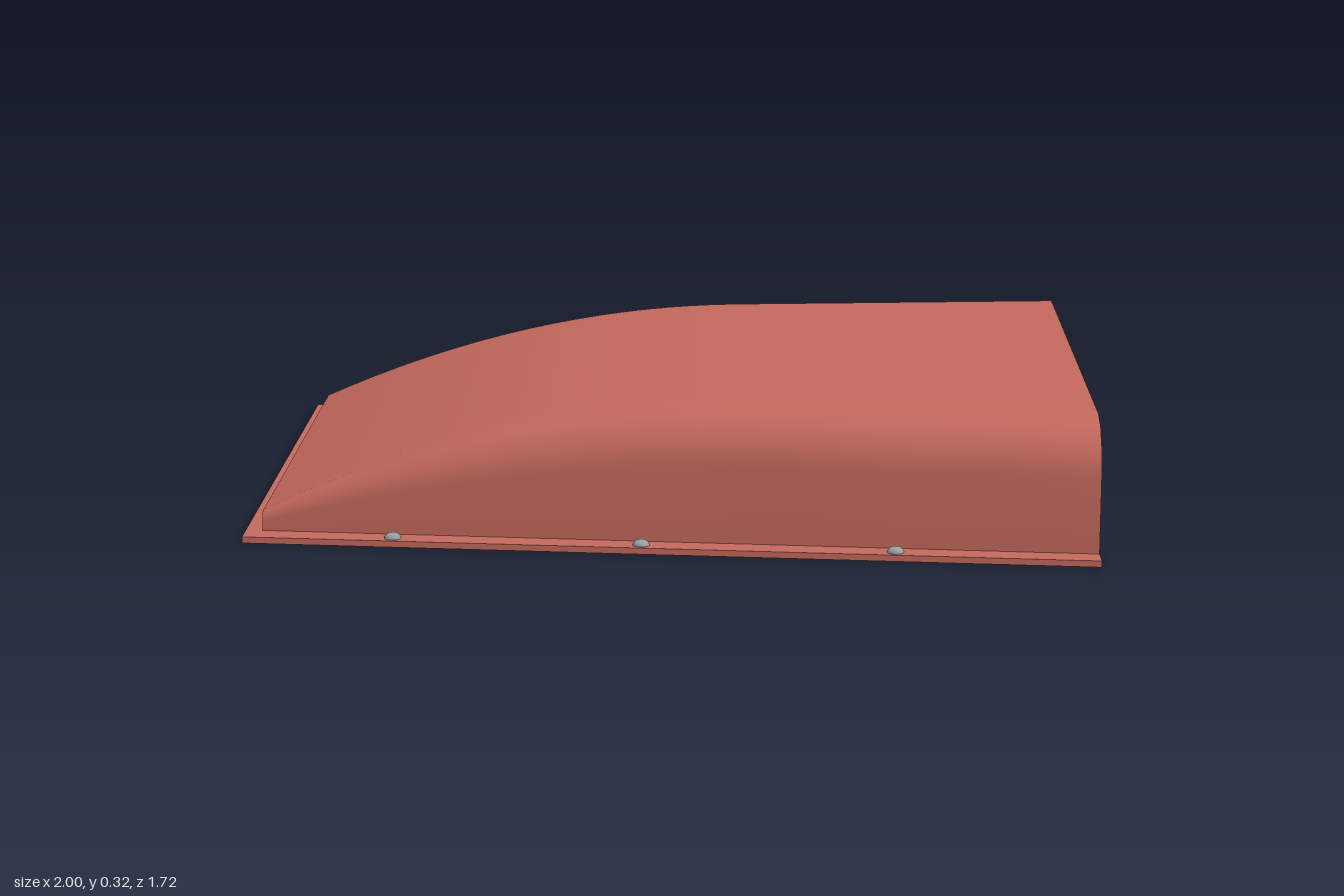
import * as THREE from 'three';
import { toCreasedNormals } from 'three/addons/utils/BufferGeometryUtils.js';

const BASE = 0.015, TAIL = -0.96, MOUTH = 1, WALL = 0.07, FLOOR = 0.08;

// Roof height and half width along the scoop
function roofHeight(x) {
  const t = Math.min(1, (x - TAIL) / 1.11);
  return 0.06 + 0.26 * (1 - (1 - t) ** 2);
}
const halfWidth = (x) => 0.64 + (0.16 * (x - TAIL)) / (MOUTH - TAIL);

// Arch-shaped cross-section from the +z foot over the roof to the -z foot
function section(x, half, bottom, top, r) {
  const side = [[bottom, half]];
  for (let i = 0; i <= 3; i++) {
    const a = (i / 3) * Math.PI / 2;
    side.push([top - r + r * Math.sin(a), half - r + r * Math.cos(a)]);
  }
  side.push([top, (half - r) * 0.85]);
  const pts = side.map(([y, z]) => new THREE.Vector3(x, y, z));
  return pts.concat(side.reverse().map(([y, z]) => new THREE.Vector3(x, y, -z)));
}

const outerSection = (x) => {
  const h = roofHeight(x);
  return section(x, halfWidth(x), BASE, h, 0.38 * h);
};
const innerSection = (x) => {
  const top = roofHeight(x) - WALL;
  return section(x, halfWidth(x) - WALL, FLOOR, top, Math.min(0.09, (top - FLOOR) * 0.55));
};

// Skin a list of equal-length sections
function loft(rings, closed) {
  const n = rings[0].length, index = [];
  for (let i = 0; i < rings.length - 1; i++) {
    for (let j = 0; j < (closed ? n : n - 1); j++) {
      const k = (j + 1) % n, a = i * n, b = a + n;
      index.push(a + j, b + j, a + k, b + j, b + k, a + k);
    }
  }
  const g = new THREE.BufferGeometry().setFromPoints(rings.flat());
  g.setIndex(index);
  g.computeVertexNormals();
  return g;
}

// Flat end face over one section
function cap(ring, faceForward) {
  const index = [];
  for (let j = 1; j < ring.length - 1; j++) {
    index.push(0, ...(faceForward ? [j + 1, j] : [j, j + 1]));
  }
  const g = new THREE.BufferGeometry().setFromPoints(ring);
  g.setIndex(index);
  g.computeVertexNormals();
  return g;
}

const stations = (from, to, n) =>
  Array.from({ length: n + 1 }, (_, i) => from + ((to - from) * i) / n);

export function createModel() {
  const group = new THREE.Group();
  const paint = new THREE.MeshStandardMaterial({ color: 0xc4695d });
  paint.name = 'red paint';
  const steel = new THREE.MeshStandardMaterial({ color: 0x98a0a0 });
  steel.name = 'grey steel';

  const add = (name, geometry, material) => {
    const mesh = new THREE.Mesh(geometry, material);
    mesh.name = name;
    group.add(mesh);
    return mesh;
  };

  // Tapered mounting flange
  const outline = new THREE.Shape([
    new THREE.Vector2(-1, -0.7), new THREE.Vector2(1, -0.86),
    new THREE.Vector2(1, 0.86), new THREE.Vector2(-1, 0.7),
  ]);
  const flange = new THREE.ExtrudeGeometry(outline, { depth: BASE, bevelEnabled: false });
  flange.rotateX(-Math.PI / 2);
  add('flange', flange, paint);

  // Curved outer shell with its low tail face
  const outer = [...stations(TAIL, 0.15, 18), 0.45, 0.75, MOUTH].map(outerSection);
  add('shell', loft(outer, false), paint);
  add('tailFace', cap(outer[0], false), paint);

  // Mouth rim, then the duct narrowing towards the tail
  add('mouthRim', loft([outerSection(MOUTH), innerSection(MOUTH)], true), paint);
  const inner = [MOUTH, 0.6, ...stations(0.15, -0.72, 14)].map(innerSection);
  add('duct', toCreasedNormals(loft(inner, true), Math.PI / 4), paint);
  add('ductEnd', cap(inner[inner.length - 1], true), paint);

  // Domed rivets along both side flanges
  const dome = new THREE.SphereGeometry(0.02, 16, 6, 0, Math.PI * 2, 0, Math.PI / 2);
  dome.scale(1, 0.7, 1);
  for (const side of [-1, 1]) {
    for (const x of [-0.645, -0.06, 0.53]) {
      add('rivet', dome, steel).position.set(x, BASE, side * (0.752 + 0.08 * x));
    }
  }
  return group;
}
